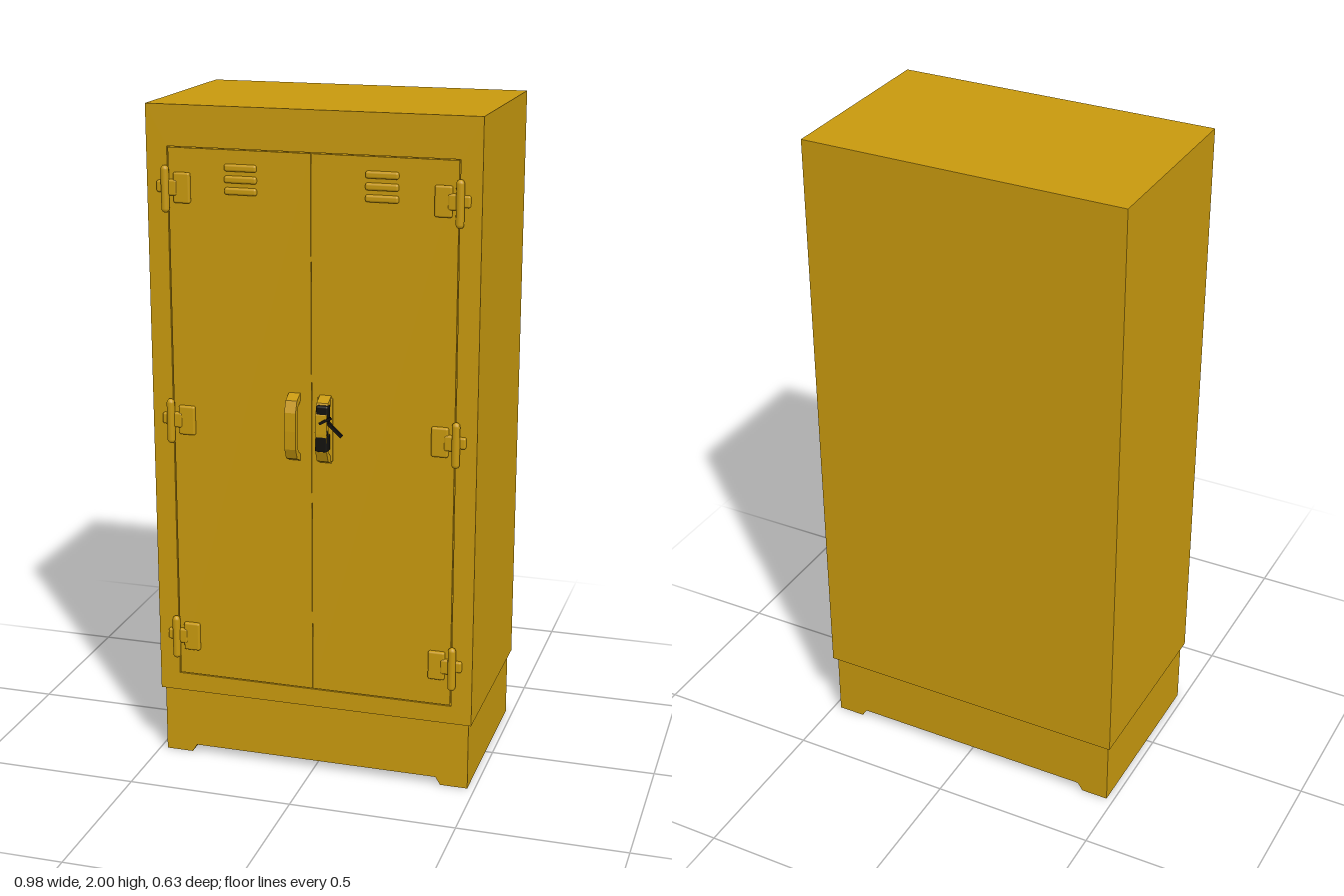
import * as THREE from 'three';
import { RoundedBoxGeometry } from 'three/addons/geometries/RoundedBoxGeometry.js';

export function createModel() {
  const model = new THREE.Group();
  model.name = 'storageCabinet';
  const yellow = new THREE.MeshStandardMaterial({ color: 0xc8990e });
  yellow.name = 'yellow paint';
  const black = new THREE.MeshStandardMaterial({ color: 0x12110e });
  black.name = 'black metal';
  const FRONT = 0.266;

  function add(parent, name, geometry, x = 0, y = 0, z = 0, material = yellow) {
    const mesh = new THREE.Mesh(geometry, material);
    mesh.name = name;
    mesh.position.set(x, y, z);
    parent.add(mesh);
    return mesh;
  }
  const box = (w, h, d) => new THREE.BoxGeometry(w, h, d);
  const rounded = (w, h, d, r) => new RoundedBoxGeometry(w, h, d, 2, r);
  const shapeOf = (pts) => new THREE.Shape(pts.map(([x, y]) => new THREE.Vector2(x, y)));
  const extrude = (shape, depth) => new THREE.ExtrudeGeometry(shape, { depth, bevelEnabled: false });

  // Plinth with a shallow arch that leaves a foot along each side
  const plinth = shapeOf([[-0.478, 0], [-0.395, 0], [-0.38, 0.024], [0.38, 0.024],
    [0.395, 0], [0.478, 0], [0.478, 0.21], [-0.478, 0.21]]);
  add(model, 'plinth', extrude(plinth, 0.56), 0, 0, -0.305);

  // Cabinet body, with a front frame around the door opening
  const step = 0.006;
  add(model, 'body', box(0.976, 1.79, 0.584 - step), 0, 1.105, (FRONT - step - 0.318) / 2);
  const frame = shapeOf([[-0.488, 0.21], [0.488, 0.21], [0.488, 2], [-0.488, 2]]);
  frame.holes.push(shapeOf([[-0.426, 0.266], [-0.426, 1.882], [0.426, 1.882], [0.426, 0.266]]));
  add(model, 'frontFrame', extrude(frame, step), 0, 0, FRONT - step);

  // Each leaf has its vents and three hinges
  for (const side of [-1, 1]) {
    const name = side > 0 ? 'left' : 'right';
    add(model, name + 'Door', box(0.422, 1.61, step), side * 0.2117, 1.074, FRONT - step / 2);

    const vents = new THREE.Group();
    vents.name = name + 'Vents';
    model.add(vents);
    for (const y of [1.763, 1.796, 1.829]) {
      add(vents, 'ventSlat', rounded(0.096, 0.021, 0.016, 0.007), side * 0.206, y, FRONT + 0.001);
    }

    for (const y of [0.39, 1.075, 1.762]) {
      const hinge = new THREE.Group();
      hinge.name = name + 'Hinge';
      hinge.position.set(side * 0.426, y, FRONT);
      model.add(hinge);
      add(hinge, 'doorLeaf', rounded(0.05, 0.088, 0.016, 0.006), side * -0.045, 0.004, 0.004);
      add(hinge, 'leafNeck', rounded(0.04, 0.046, 0.016, 0.006), side * -0.012, 0.004, 0.006);
      add(hinge, 'frameLeaf', rounded(0.034, 0.034, 0.016, 0.006), side * 0.014, 0.006, 0.003);
      add(hinge, 'pin', new THREE.CapsuleGeometry(0.012, 0.112, 4, 12), side * 0.003, 0, 0.012);
    }
  }

  // Arched pull handles, one on each door
  function pullHandle(name, x) {
    const arch = shapeOf([[0, 0.985], [0.032, 0.999], [0.046, 1.03], [0.048, 1.085],
      [0.046, 1.14], [0.032, 1.173], [0, 1.188], [0, 1.166], [0.02, 1.153],
      [0.028, 1.13], [0.028, 1.04], [0.02, 1.018], [0, 1.006]]);
    const g = extrude(arch, 0.034);
    g.rotateY(-Math.PI / 2);
    add(model, name, g, x + 0.017, 0, FRONT);
  }
  pullHandle('rightHandle', -0.051);
  pullHandle('leftHandle', 0.042);

  // Lock and key bunch hanging on the left handle
  const lock = new THREE.Group();
  lock.name = 'lock';
  lock.position.set(0.042, 0, FRONT);
  model.add(lock);
  add(lock, 'lockPlate', rounded(0.046, 0.19, 0.008, 0.003), 0, 1.087, 0.003);
  add(lock, 'lockBody', rounded(0.038, 0.05, 0.034, 0.006), 0, 1.055, 0.031, black);
  add(lock, 'lockShackle', new THREE.TorusGeometry(0.015, 0.005, 8, 20), 0, 1.088, 0.042, black);
  add(lock, 'lockTop', rounded(0.036, 0.055, 0.03, 0.006), 0.002, 1.14, 0.03, black);
  add(lock, 'key', box(0.066, 0.009, 0.01), 0.034, 1.1, 0.032, black).rotation.z = -0.75;
  add(lock, 'secondKey', box(0.04, 0.008, 0.008), 0.012, 1.125, 0.045, black).rotation.z = 0.5;

  return model;
}
